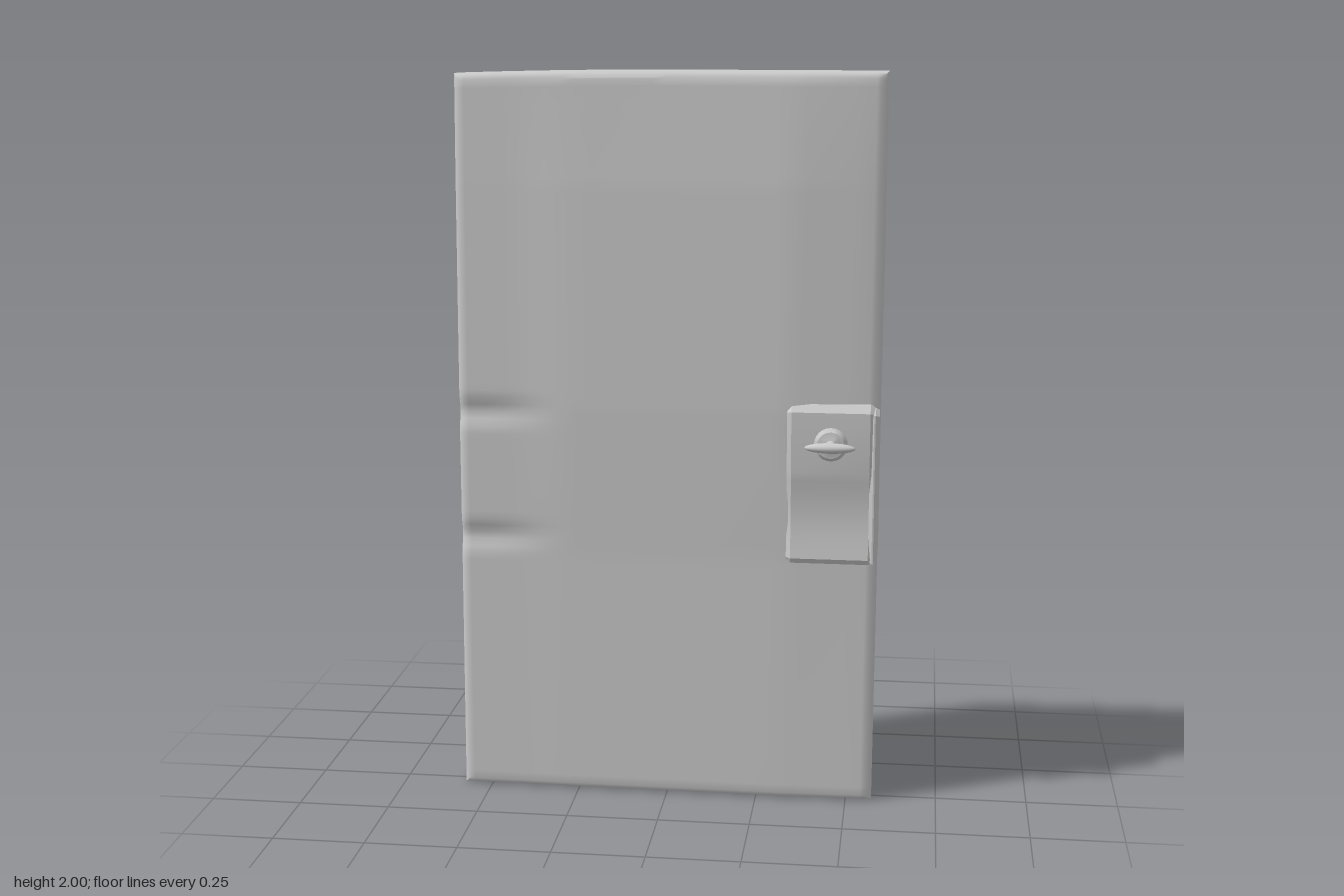
import * as THREE from 'three';
import { toCreasedNormals } from 'three/addons/utils/BufferGeometryUtils.js';

const grey = new THREE.MeshStandardMaterial({ color: 0xcccccc });

function part(name, geometry, crease) {
  const mesh = new THREE.Mesh(crease ? toCreasedNormals(geometry, crease) : geometry, grey);
  mesh.name = name;
  return mesh;
}

// Piecewise-linear lookup through [position, value] pairs
function ramp(points, t) {
  for (let i = 1; i < points.length; i++) {
    const [a, va] = points[i - 1], [b, vb] = points[i];
    if (t <= b) return va + (vb - va) * THREE.MathUtils.clamp((t - a) / (b - a), 0, 1);
  }
  return points[points.length - 1][1];
}

const ACROSS = [[-0.57, 0.056], [-0.4, 0.056], [-0.28, 0.065], [0.33, 0.071], [0.57, 0.046]];
const UP = [[0, 0.3], [0.69, 0.45], [1.1, 1], [1.7, 0.95], [2, 0.5]];

// Half thickness of the slab, with two tapering hinge grooves on the left edge
function halfThickness(x, y) {
  let h = 0.046 + (ramp(ACROSS, x) - 0.046) * ramp(UP, y);
  const fade = 1 - THREE.MathUtils.smoothstep(x, -0.52, -0.28);
  for (const gy of [1.08, 0.73]) {
    const d = Math.abs(y - gy) / 0.05;
    if (d < 1) h -= 0.014 * fade * (0.5 + 0.5 * Math.cos(Math.PI * d));
  }
  return h;
}

// Door slab: a subdivided box whose rim is rounded and whose faces follow halfThickness
function doorSlab() {
  const W = 0.575, nx = 28, ny = 100;
  const geo = new THREE.BoxGeometry(2, 2, 2, nx, ny, 5);
  const p = geo.attributes.position;
  for (let i = 0; i < p.count; i++) {
    const u = p.getX(i), v = p.getY(i), w = p.getZ(i);
    const level = Math.round(Math.abs(w) * 5);            // 1, 3 or 5 out from the middle
    const inset = level === 5 ? 0.018 : level === 3 ? 0.005 : 0;
    const depth = level === 5 ? 0 : level === 3 ? 0.008 : 0.024;
    let x = u * W, y = 1 + v;
    // tighten the outermost grid lines next to the rim
    if (Math.abs(u) > 1 - 2.5 / nx && Math.abs(u) < 0.999) x = Math.sign(u) * (W - (Math.abs(u) > 1 - 3 / nx && Math.abs(u) > 1 - 2.1 / nx ? 0.03 : 0.05));
    const h = halfThickness(x, y);
    if (Math.abs(u) > 0.999) x -= Math.sign(u) * inset;
    if (Math.abs(v) > 0.999) y -= Math.sign(v) * inset;
    if (x < 0 && y > 1.9) y -= 0.01 * (x / W) ** 2;
    p.setXYZ(i, x + 0.004 * (y - 1), y, Math.sign(w) * (h - depth));
  }
  return part('doorSlab', geo, 0.75);
}

// Extrude a front half-profile [z, y], mirrored to the back, from x0 to x1
function profileBlock(name, profile, x0, x1, bevel) {
  const mirrored = profile.map(([z, y]) => [-z, y]).reverse();
  const shape = new THREE.Shape([...profile, ...mirrored].map(([z, y]) => new THREE.Vector2(z, y)));
  const geo = new THREE.ExtrudeGeometry(shape, {
    depth: x1 - x0 - 2 * bevel, bevelEnabled: true, bevelThickness: bevel,
    bevelSize: bevel * 0.7, bevelOffset: -bevel * 0.7, bevelSegments: 1
  });
  geo.translate(0, 0, bevel).rotateY(Math.PI / 2).translate(x0, 0, -0.003);
  return part(name, geo, 0.4);
}

// Knob facing +z, origin on the lock case axis
function knob(name) {
  const group = new THREE.Group();
  group.name = name;
  const rose = [[0, 0.07], [0.045, 0.07], [0.045, 0.09], [0.036, 0.1], [0.02, 0.102],
    [0.014, 0.104], [0.014, 0.135], [0, 0.135]].map(([r, z]) => new THREE.Vector2(r, z));
  group.add(part('knobRose', new THREE.LatheGeometry(rose, 24).rotateX(Math.PI / 2), 0.6));
  // Flat oval grip, blunt at the ends and flatter on its inner side
  const grip = new THREE.SphereGeometry(1, 28, 18);
  const p = grip.attributes.position;
  for (let i = 0; i < p.count; i++) {
    const z = p.getZ(i);
    p.setXYZ(i, p.getX(i) * 0.068, p.getY(i) * 0.014, 0.133 + z * (z > 0 ? 0.018 : 0.01));
  }
  grip.computeVertexNormals();
  group.add(part('knobGrip', grip));
  return group;
}

export function createModel() {
  const model = new THREE.Group();
  model.name = 'door';
  model.add(doorSlab());

  // Lock case with a scooped lower half
  const scoop = [];
  for (let i = 0; i <= 10; i++) {
    const t = i / 10;
    scoop.push([0.084 - 0.006 * t - 0.012 * Math.sin(Math.PI * t), 0.94 - 0.24 * t]);
  }
  model.add(profileBlock('lockCase',
    [[0.068, 1.125], [0.086, 1.105], ...scoop, [0.07, 0.686]], 0.328, 0.562, 0.012));

  // Edge plate closing the lock case on the free side of the door
  model.add(profileBlock('lockEdgePlate',
    [[0.066, 1.115], [0.083, 1.1], [0.083, 0.94], [0.076, 0.69]], 0.55, 0.574, 0.01));

  // Knobs on both faces
  for (const back of [false, true]) {
    const k = knob(back ? 'backKnob' : 'frontKnob');
    k.position.set(0.446, 1.02, -0.002);
    if (back) k.rotation.y = Math.PI;
    model.add(k);
  }
  return model;
}
